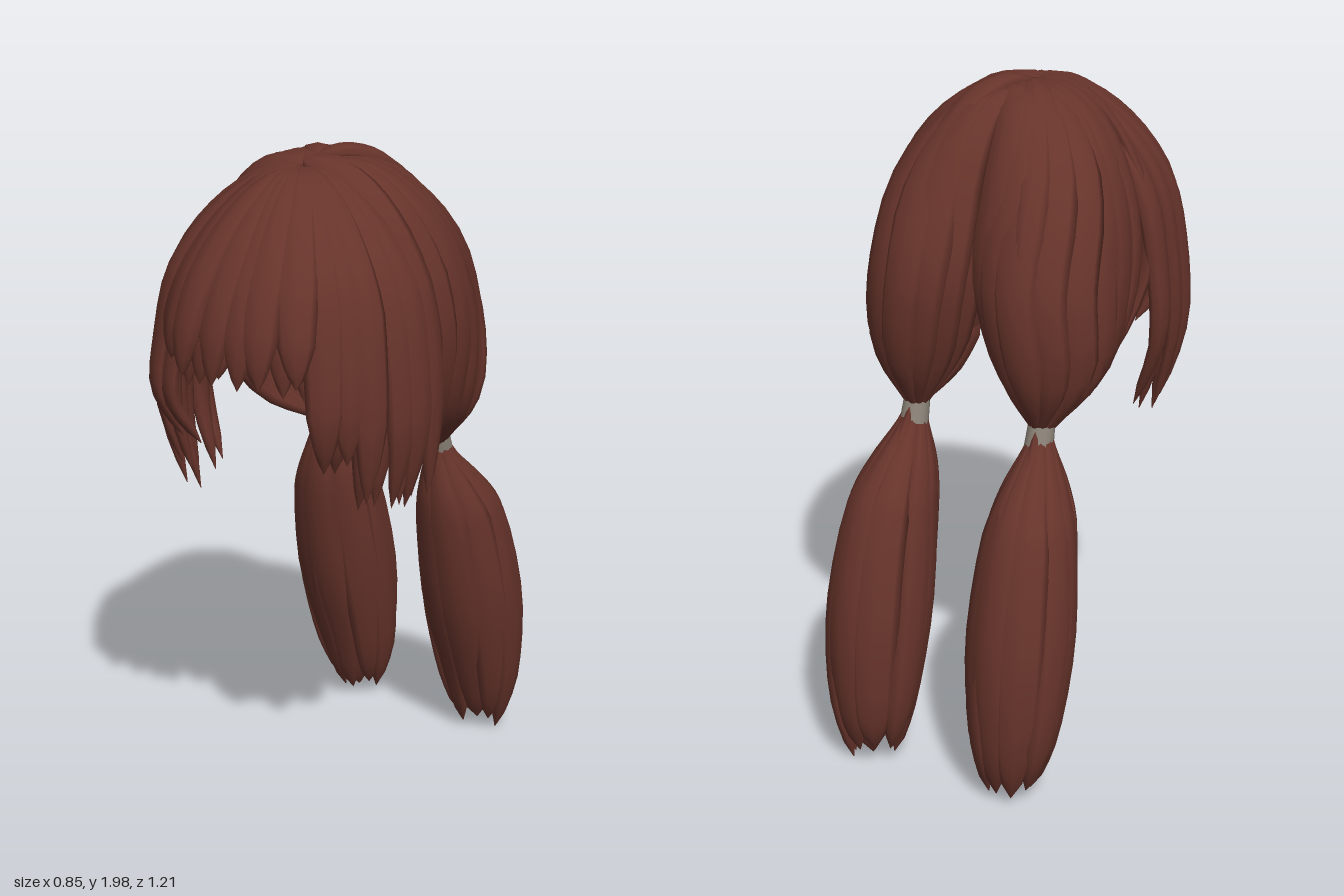
import * as THREE from 'three';

const V = (x, y, z) => new THREE.Vector3(x, y, z);

export function createModel() {
  const model = new THREE.Group();
  model.name = 'twinTailHair';
  const hair = new THREE.MeshStandardMaterial({ color: 0x67342b });
  hair.name = 'auburnHair';
  const band = new THREE.MeshStandardMaterial({ color: 0x8a8277 });
  band.name = 'greyBand';

  let seed = 7;
  const rand = () => ((seed = (seed * 16807) % 2147483647) / 2147483647);
  const jitter = (a) => (rand() * 2 - 1) * a;

  // Width along a lock, from piecewise linear stops [t, width]
  const profile = (stops) => (t) => {
    for (let i = 1; i < stops.length; i++) {
      const [t0, w0] = stops[i - 1], [t1, w1] = stops[i];
      if (t <= t1) return w0 + ((w1 - w0) * (t - t0)) / (t1 - t0);
    }
    return 0;
  };

  // A lock of hair: a flattened tube along a curve, facing away from centre(t)
  function lock(parent, name, points, centre, width, thick, shape, sides = 8, rings = 20) {
    const curve = new THREE.CatmullRomCurve3(points, false, 'centripetal');
    const pos = [], idx = [];
    for (let i = 0; i <= rings; i++) {
      const t = i / rings, p = curve.getPoint(t), T = curve.getTangent(t);
      const N = p.clone().sub(centre(t));
      N.addScaledVector(T, -N.dot(T)).normalize();
      const S = N.clone().cross(T);
      const k = Math.max(shape(t), 0.002);
      for (let j = 0; j < sides; j++) {
        const a = (j / sides) * Math.PI * 2;
        const q = p.clone().addScaledVector(S, Math.cos(a) * width * k)
          .addScaledVector(N, Math.sin(a) * thick * Math.sqrt(k));
        pos.push(q.x, q.y, q.z);
        if (i < rings) {
          const b = i * sides + ((j + 1) % sides), a0 = i * sides + j;
          idx.push(a0, b, a0 + sides, b, b + sides, a0 + sides);
        }
      }
    }
    const g = new THREE.BufferGeometry();
    g.setAttribute('position', new THREE.Float32BufferAttribute(pos, 3));
    g.setIndex(idx);
    g.computeVertexNormals();
    const mesh = new THREE.Mesh(g, hair);
    mesh.name = name;
    parent.add(mesh);
  }

  // Fringe and side locks fanning from the crown
  const fringe = new THREE.Group();
  fringe.name = 'fringe';
  model.add(fringe);
  const fringeShape = profile([[0, 0], [0.06, 0.3], [0.3, 0.75], [0.55, 1], [0.8, 0.85], [0.93, 0.45], [1, 0]]);
  const headCentre = () => V(0, 1.4, 0.12);
  function fan(count, spread, R, lift, width) {
    for (let i = 0; i < count; i++) {
      const deg = -spread + (2 * spread * i) / (count - 1) + jitter(2.5);
      const a = THREE.MathUtils.degToRad(deg), d = Math.abs(deg);
      const tip = (d < 39 ? 1.44 : d < 52 ? 1.22 : d < 60 ? 1.1 : 1.02 + Math.sign(deg) * 0.03) + jitter(0.035);
      const r = R + (d < 27 ? 0.015 : 0) + jitter(0.016);
      const at = (k, y) => V(Math.sin(a) * r * k, y + lift, 0.17 + Math.cos(a) * r * k);
      const pts = [at(-0.03, 1.945), at(0.25, 1.93), at(0.58, 1.835), at(0.86, 1.68)];
      if (tip > 1.35) pts.push(at(0.97, 1.56), at(1.01, tip));
      else pts.push(at(0.98, 1.48), at(1.01, (1.48 + tip) / 2), at((deg < 0 ? 0.85 : 0.93) + jitter(0.07), tip));
      lock(fringe, 'fringeLock', pts, headCentre, width, 0.025, fringeShape);
    }
  }
  fan(18, 95, 0.402, 0, 0.06);
  fan(17, 92, 0.368, -0.02, 0.057);

  // Guide rings for the gathered back hair, front edge to parting: x, z
  const ring = (pts) => new THREE.CatmullRomCurve3(pts.map(([x, z]) => V(x, 0, z)));
  const upper = ring([[0.26, 0.15], [0.285, 0], [0.25, -0.13], [0.15, -0.22], [0.06, -0.21], [0.03, -0.14]]);
  const middle = ring([[0.34, 0.12], [0.355, -0.06], [0.3, -0.26], [0.17, -0.36], [0.07, -0.31], [0.035, -0.18]]);
  const lower = ring([[0.28, 0.01], [0.32, -0.1], [0.31, -0.26], [0.2, -0.345], [0.12, -0.29], [0.11, -0.18]]);
  const backShape = profile([[0, 0], [0.03, 0.5], [0.25, 0.75], [0.5, 1], [0.75, 0.8], [0.93, 0.3], [1, 0.15]]);
  const leafShape = profile([[0, 0], [0.12, 0.6], [0.35, 1], [0.6, 0.8], [1, 0.1]]);

  // Pigtail stations: y, centre x, centre z, radius x, radius z
  const stations = [
    [1.08, 0.2, -0.25, 0.012, 0.012], [1.0, 0.205, -0.275, 0.036, 0.04], [0.9, 0.213, -0.322, 0.074, 0.092],
    [0.8, 0.222, -0.363, 0.1, 0.121], [0.5, 0.23, -0.438, 0.126, 0.135], [0.22, 0.23, -0.495, 0.108, 0.09],
    [0.03, 0.225, -0.51, 0.065, 0.05],
  ];
  const tailShape = profile([[0, 0.12], [0.17, 0.35], [0.33, 0.65], [0.5, 0.9], [0.67, 1], [0.83, 0.85], [0.94, 0.5], [1, 0]]);
  const coreShape = profile([[0, 0.1], [0.17, 0.25], [0.33, 0.55], [0.5, 0.8], [0.67, 1], [0.83, 0.75], [0.95, 0.3], [1, 0]]);

  for (const s of [-1, 1]) {
    const side = s > 0 ? 'left' : 'right';

    // Back half of the head, swept down into the tie
    const back = new THREE.Group();
    back.name = side + 'BackHair';
    model.add(back);
    const count = 11;
    for (let i = 0; i < count; i++) {
      const u = i / (count - 1);
      const up = upper.getPoint(u), mid = middle.getPoint(u), low = lower.getPoint(u);
      const grow = 1 + jitter(0.03);
      const root = V(-0.02, 1.955 + jitter(0.012), 0.15 - 0.14 * u);
      const a = -0.9 + u * 4.6;
      const pts = [
        root, V(up.x * 0.5 + 0.004, 1.93, (root.z + up.z) / 2), V(up.x * grow, 1.785, up.z * grow),
        V(mid.x * grow, 1.5, mid.z * grow), V(low.x, 1.23, low.z),
        V(0.2 + Math.cos(a) * 0.014, 1.06, -0.25 - Math.sin(a) * 0.014),
      ].map((p) => p.setX(p.x * s));
      lock(back, 'backLock', pts, () => V(0.15 * s, 1.45, -0.08), 0.07, 0.026, backShape);
    }
    // Raised lock beside the parting
    const rise = s > 0 ? 0.012 : 0;
    lock(back, 'crownLock', [V(-0.015, 1.95, 0.1), V(0.04, 1.96 + rise, 0.03), V(0.1, 1.92 + rise, -0.07),
      V(0.155, 1.79, -0.21), V(0.175, 1.6, -0.325), V(0.18, 1.38, -0.36)].map((p) => p.setX(p.x * s)),
      () => V(0.1 * s, 1.45, -0.05), 0.055, 0.028, leafShape);
    // Broad lock closing the inner face of the gathered hair
    lock(back, 'innerLock', [V(0.1, 1.42, -0.14), V(0.11, 1.3, -0.16), V(0.15, 1.17, -0.2), V(0.2, 1.06, -0.25)]
      .map((p) => p.setX(p.x * s)), () => V(0.12 * s, 1.3, -1), 0.075, 0.022, leafShape);

    // Hair tie
    const tie = new THREE.Mesh(new THREE.CylinderGeometry(0.038, 0.042, 0.072, 16), band);
    tie.name = side + 'HairTie';
    tie.position.set(0.2 * s, 1.052, -0.258);
    tie.rotation.x = 0.3;
    model.add(tie);

    // Pigtail: a core wrapped in overlapping locks
    const tail = new THREE.Group();
    tail.name = side + 'Pigtail';
    model.add(tail);
    const axis = stations.map(([y, x, z]) => V(x * s, y, z));
    const axisCurve = new THREE.CatmullRomCurve3(axis, false, 'centripetal');
    lock(tail, 'pigtailCore', axis, (t) => axisCurve.getPoint(t).add(V(0, 0, 1)), 0.113, 0.108, coreShape, 12);
    const n = 9;
    for (let i = 0; i < n; i++) {
      const a = ((i + jitter(0.2)) / n) * Math.PI * 2, drop = jitter(0.035);
      const pts = stations.map(([y, x, z, rx, rz], k) =>
        V(x * s + Math.cos(a) * rx, k === stations.length - 1 ? y + drop + 0.015 : y, z + Math.sin(a) * rz));
      lock(tail, 'pigtailLock', pts, (t) => axisCurve.getPoint(t), 0.07, 0.03, tailShape);
    }
  }
  return model;
}
